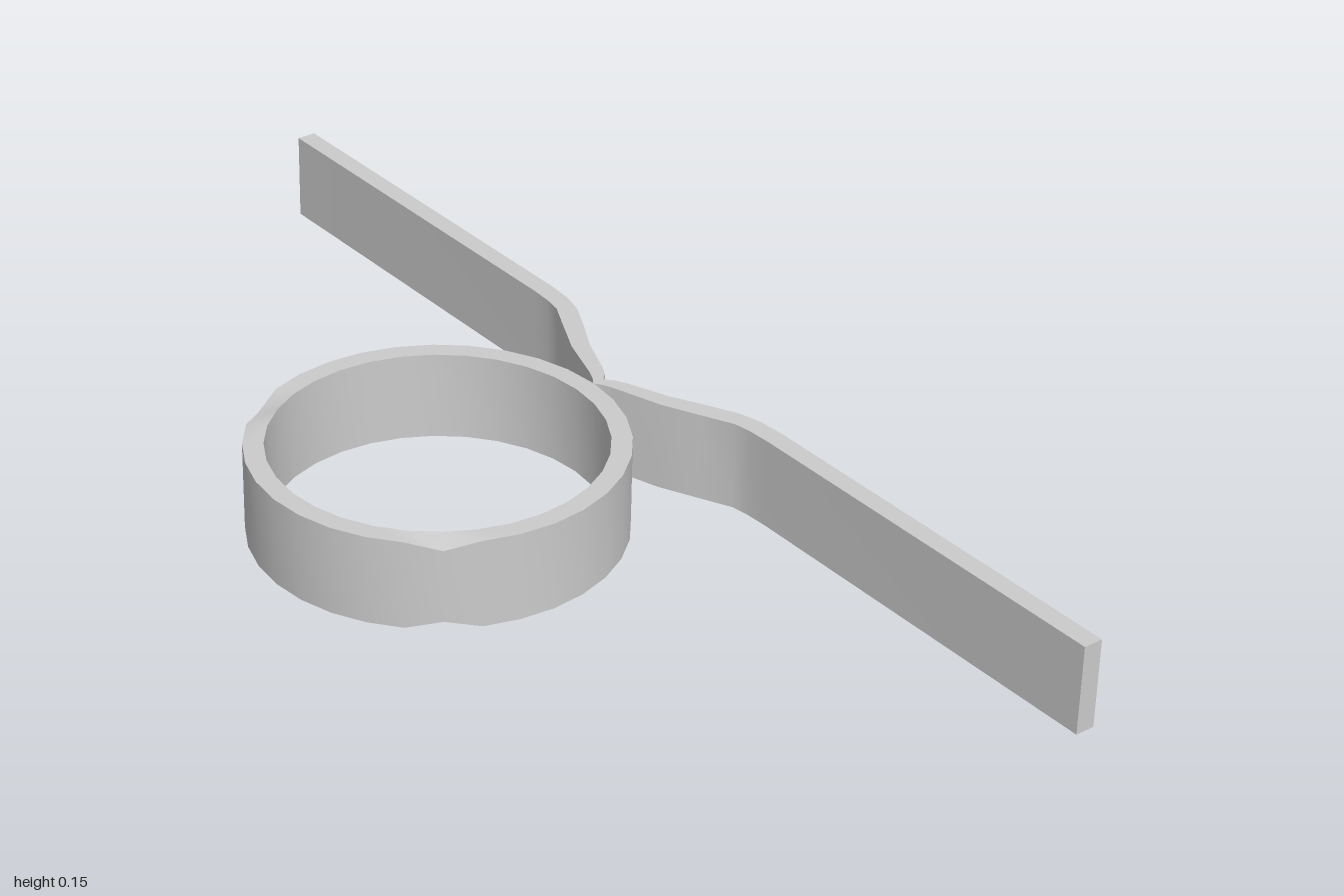
import * as THREE from 'three';
import { toCreasedNormals } from 'three/addons/utils/BufferGeometryUtils.js';

const HEIGHT = 0.15;
const OUTER = 0.3, INNER = 0.267, RING_Z = 0.07;
const SEGMENTS = 32, NOTCH_DEPTH = 0.013;

// Round band with a small bevelled nick on the outer rim, front left and front right
function ringGeometry() {
  const profile = [
    [INNER, 0], [OUTER, 0], [OUTER, HEIGHT], [INNER, HEIGHT], [INNER, 0],
  ].map(([r, y]) => new THREE.Vector2(r, y));
  const geometry = new THREE.LatheGeometry(profile, SEGMENTS);
  const pos = geometry.attributes.position;
  const notchAngle = 3 * 2 * Math.PI / SEGMENTS;
  for (let i = 0; i < pos.count; i++) {
    const x = pos.getX(i), y = pos.getY(i), z = pos.getZ(i);
    const onOuter = Math.hypot(x, z) > (OUTER + INNER) / 2;
    const angle = Math.atan2(z, Math.abs(x));
    if (onOuter && Math.abs(angle - notchAngle) < 0.05) {
      pos.setY(i, y > HEIGHT / 2 ? HEIGHT - NOTCH_DEPTH : NOTCH_DEPTH);
    }
  }
  return toCreasedNormals(geometry, 0.6);
}

// Two mirrored strips that sweep out from the pinch behind the ring; points are [x, z]
function armsGeometry() {
  const front = [
    [0.012, -0.238], [0.03, -0.246], [0.115, -0.274], [0.175, -0.303],
    [0.23, -0.33], [0.26, -0.335], [0.3, -0.337], [1, -0.337],
  ];
  const back = [
    [1, -0.37], [0.3, -0.37], [0.25, -0.367], [0.21, -0.357],
    [0.16, -0.332], [0.1, -0.3], [0.03, -0.272], [0.012, -0.262],
  ];
  const half = [...front, ...back];
  const mirrored = half.map(([x, z]) => [-x, z]).reverse();
  const outline = [[0, -0.229], ...half, [0, -0.25], ...mirrored];
  const shape = new THREE.Shape(outline.map(([x, z]) => new THREE.Vector2(x, -z)));
  const geometry = new THREE.ExtrudeGeometry(shape, { depth: HEIGHT, bevelEnabled: false });
  geometry.rotateX(-Math.PI / 2);
  return toCreasedNormals(geometry, 0.6);
}

export function createModel() {
  const group = new THREE.Group();
  group.name = 'ringWithArms';
  const material = new THREE.MeshStandardMaterial({ color: 0xcccccc });

  const ring = new THREE.Mesh(ringGeometry(), material);
  ring.name = 'ring';
  ring.position.z = RING_Z;

  const arms = new THREE.Mesh(armsGeometry(), material);
  arms.name = 'arms';

  group.add(ring, arms);
  return group;
}
